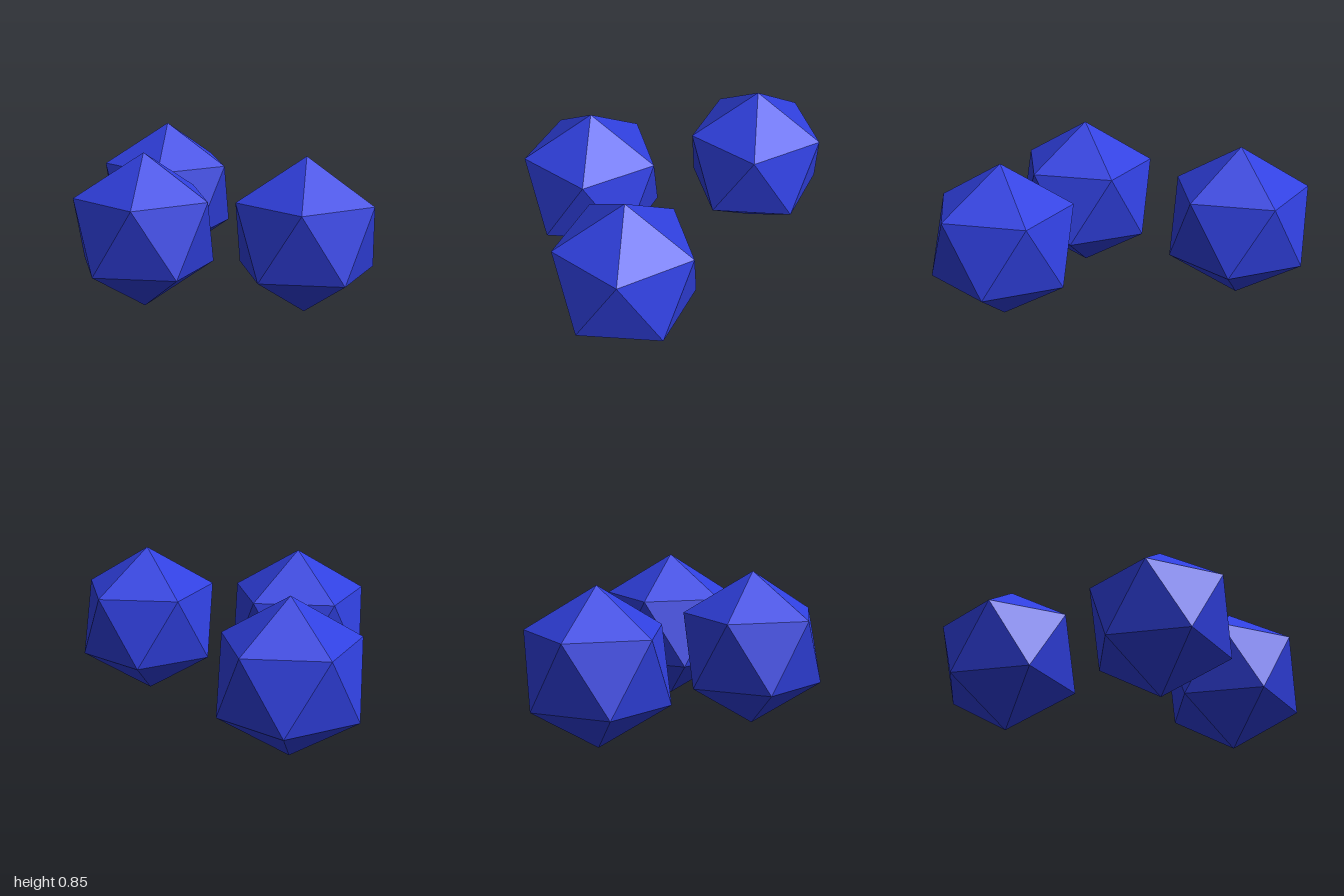
import * as THREE from 'three';

const RADIUS = 0.4235;

export function createModel() {
  const group = new THREE.Group();
  const blue = new THREE.MeshStandardMaterial({ color: 0x3040e0 });
  blue.name = 'blue';

  // Icosahedron balanced on a corner, with an upper ring corner pointing to +x
  const gem = new THREE.IcosahedronGeometry(RADIUS, 0);
  gem.rotateZ(-Math.atan(2 / (1 + Math.sqrt(5))));
  gem.translate(0, RADIUS, 0);

  // Three identical gems standing on the ground
  const places = [
    ['frontGem', 0.136, 0.64],
    ['rightGem', -0.382, -0.05],
    ['backGem', 0.382, -0.64],
  ];
  for (const [name, x, z] of places) {
    const mesh = new THREE.Mesh(gem, blue);
    mesh.name = name;
    mesh.position.set(x, 0, z);
    group.add(mesh);
  }
  return group;
}
